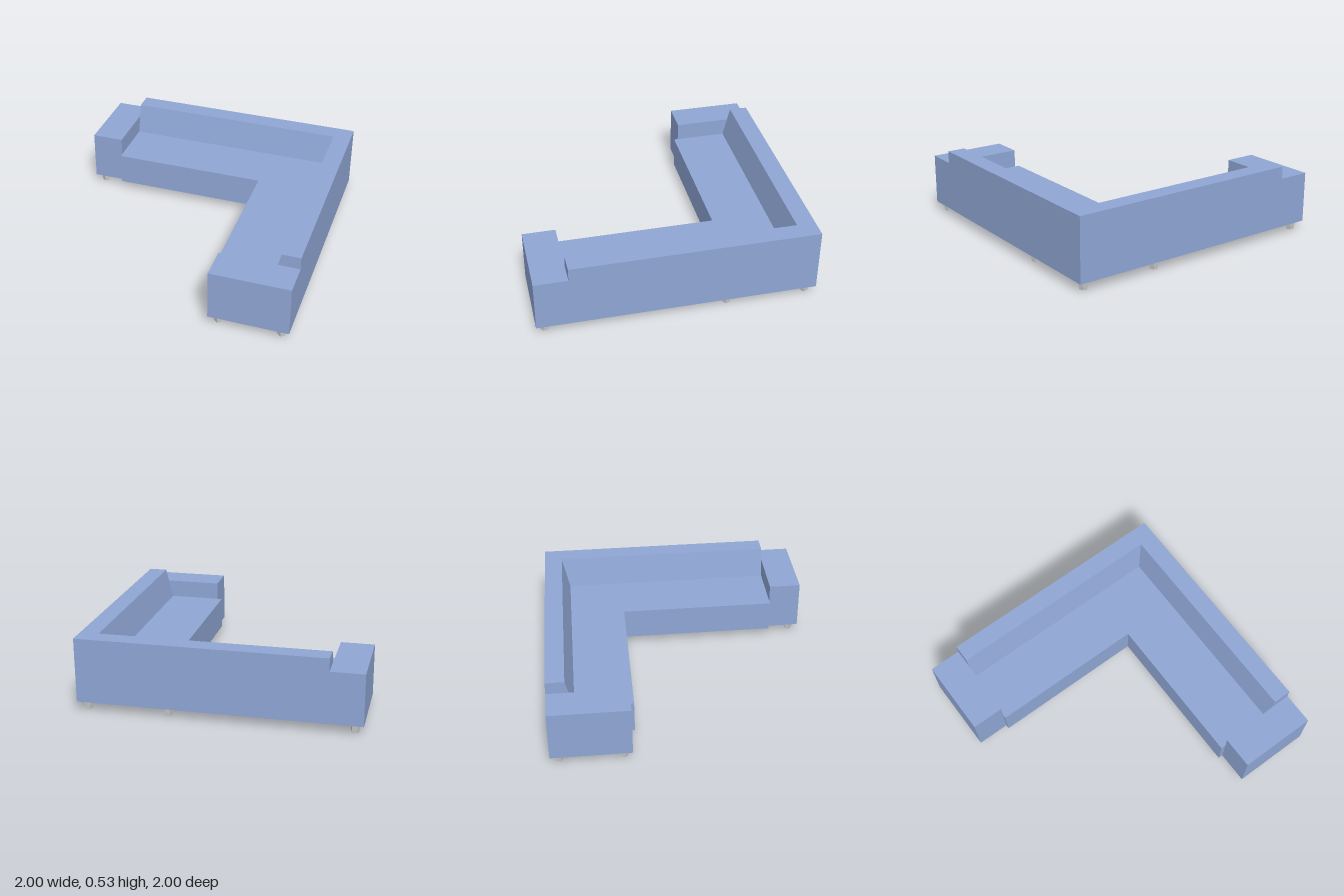
import * as THREE from 'three';

const FLOOR = 0.067, SEAT = 0.307, ARM = 0.44, BACK = 0.532; // heights
const END = 0.762; // where the arms begin

const fabric = new THREE.MeshStandardMaterial({ color: 0x8fa6d4, flatShading: true });
const grey = new THREE.MeshStandardMaterial({ color: 0xcccccc, flatShading: true });

function add(group, name, geometry, material) {
  const mesh = new THREE.Mesh(geometry, material);
  mesh.name = name;
  group.add(mesh);
  return mesh;
}

// Box given by its floor rectangle, standing on the underside of the sofa
function armBox(x0, x1, z0, z1) {
  return new THREE.BoxGeometry(x1 - x0, ARM - FLOOR, z1 - z0)
    .translate((x0 + x1) / 2, (ARM + FLOOR) / 2, (z0 + z1) / 2);
}

// L-shaped seat base
function seatGeometry() {
  const outline = [[-END, -1], [1, -1], [1, END], [0.39, END], [0.39, -0.397], [-END, -0.397]];
  const shape = new THREE.Shape(outline.map(([x, z]) => new THREE.Vector2(x, -z)));
  return new THREE.ExtrudeGeometry(shape, { depth: SEAT - FLOOR, bevelEnabled: false })
    .rotateX(-Math.PI / 2).translate(0, FLOOR, 0);
}

// Sloped backrest profile swept round the mitred corner
function backrestGeometry() {
  const profile = [[0, SEAT], [0, BACK], [0.135, BACK], [0.19, SEAT]]; // inset, height
  const stations = [
    (d, y) => [-END, y, d - 1],
    (d, y) => [1 - d, y, d - 1],
    (d, y) => [1 - d, y, END],
  ].map((place) => profile.map(([d, y]) => place(d, y)));
  const positions = [];
  const quad = (a, b, c, d) => positions.push(...a, ...b, ...c, ...a, ...c, ...d);
  for (let i = 0; i < 2; i++) {
    for (let k = 0; k < 3; k++) {
      quad(stations[i][k], stations[i][k + 1], stations[i + 1][k + 1], stations[i + 1][k]);
    }
  }
  quad(...[...stations[0]].reverse());
  quad(...stations[2]);
  const geometry = new THREE.BufferGeometry();
  geometry.setAttribute('position', new THREE.Float32BufferAttribute(positions, 3));
  geometry.computeVertexNormals();
  return geometry;
}

export function createModel() {
  const sofa = new THREE.Group();
  sofa.name = 'cornerSofa';

  add(sofa, 'seat', seatGeometry(), fabric);
  add(sofa, 'backrest', backrestGeometry(), fabric);
  add(sofa, 'sideArm', armBox(-1, -END, -1, -0.427), fabric);
  add(sofa, 'frontArm', armBox(0.425, 1, END, 1), fabric);

  // Tapered five-sided legs
  const leg = new THREE.CylinderGeometry(0.038, 0.028, FLOOR, 5);
  const feet = [
    [-0.937, -0.935], [-0.937, -0.485], [0.357, -0.935], [0.935, -0.935],
    [0.935, -0.357], [0.935, 0.937], [0.485, 0.937],
  ];
  for (const [x, z] of feet) add(sofa, 'leg', leg, grey).position.set(x, FLOOR / 2, z);

  return sofa;
}
